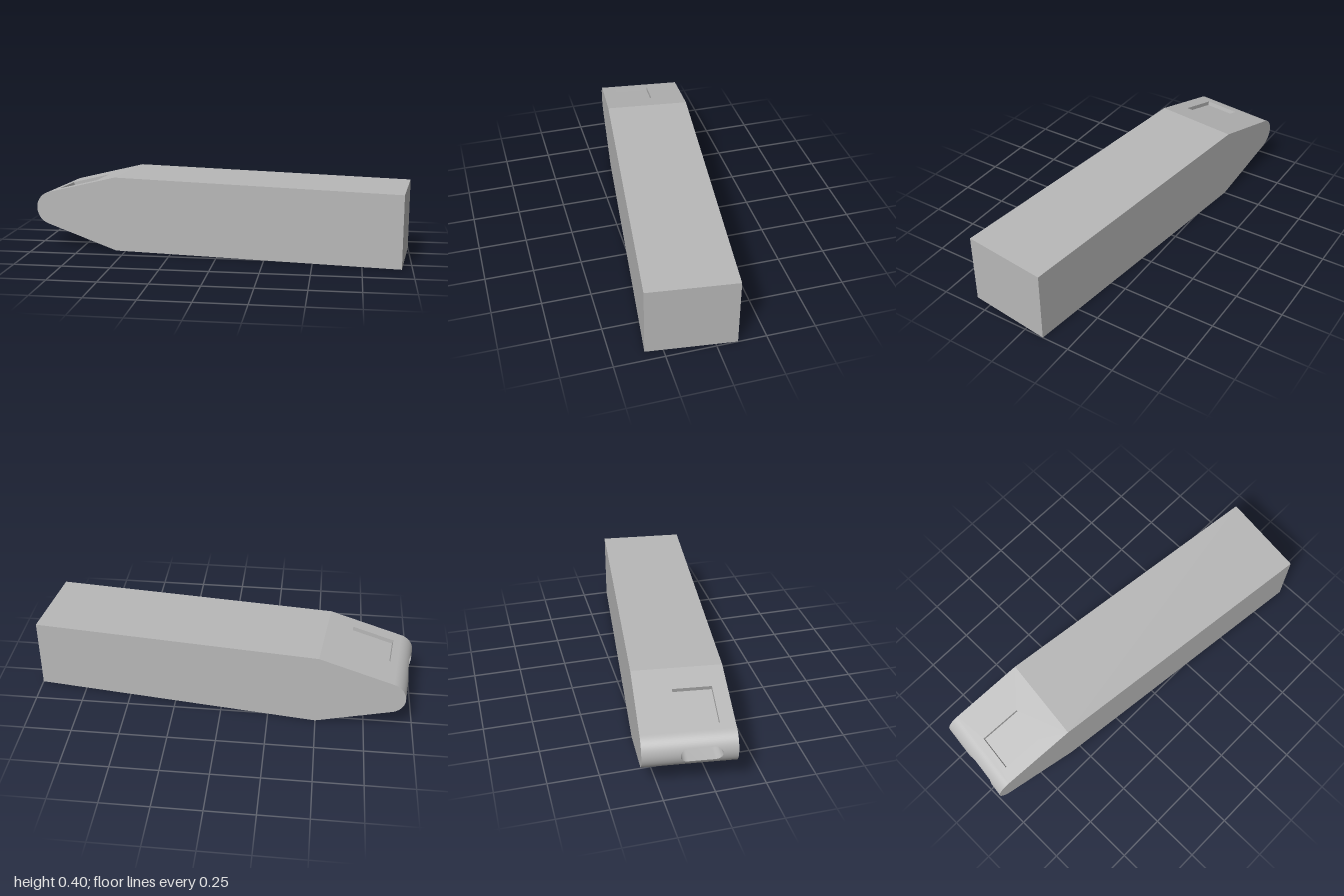
import * as THREE from 'three';
import { toCreasedNormals } from 'three/addons/utils/BufferGeometryUtils.js';

// Local frame: x runs from nose (0) to tail, y up, z across the width.
const LENGTH = 1.96, HALF = 0.224, BREAK = 0.45, TOP = 0.397, TAIL_TOP = 0.377;
const NOSE = { x: 0.09, y: 0.213, r: 0.09 };
const SLOT = { z0: -0.045, z1: 0.152, h: 0.036, floor: 0.1 };
const RECESS = 0.022;

const nosePoint = (a) => new THREE.Vector2(NOSE.x - NOSE.r * Math.cos(a), NOSE.y + NOSE.r * Math.sin(a));

export function createModel() {
  const grey = new THREE.MeshStandardMaterial({ color: 0xb8b8b8, side: THREE.DoubleSide });
  grey.name = 'grey';
  const body = new THREE.Group();
  body.name = 'body';

  const add = (name, geometry, parent = body) => {
    const mesh = new THREE.Mesh(geometry, grey);
    mesh.name = name;
    parent.add(mesh);
    return mesh;
  };

  // Quads given as four corners, counter-clockwise from outside
  const fromQuads = (quads) => {
    const g = new THREE.BufferGeometry();
    const pos = quads.flatMap(([a, b, c, d]) => [a, b, c, a, c, d].flat());
    g.setAttribute('position', new THREE.Float32BufferAttribute(pos, 3));
    g.computeVertexNormals();
    return g;
  };

  const topAngle = THREE.MathUtils.degToRad(75.5);
  const lowAngle = THREE.MathUtils.degToRad(-71.1);
  const slotAngle = Math.asin(SLOT.h / NOSE.r);

  // Flat side faces
  const outline = [];
  for (let i = 0; i <= 32; i++) outline.push(nosePoint(THREE.MathUtils.lerp(topAngle, lowAngle, i / 32)));
  outline.push(new THREE.Vector2(BREAK, 0), new THREE.Vector2(LENGTH, 0),
    new THREE.Vector2(LENGTH, TAIL_TOP), new THREE.Vector2(BREAK, TOP));
  for (const side of [1, -1]) {
    const face = add(side > 0 ? 'frontSide' : 'backSide', new THREE.ShapeGeometry(new THREE.Shape(outline)));
    if (side < 0) {
      face.geometry.index.array.reverse();
      face.geometry.attributes.normal.array.fill(-1);
      const n = face.geometry.attributes.normal;
      for (let i = 0; i < n.count; i++) n.setXYZ(i, 0, 0, -1);
    }
    face.position.z = side * HALF;
  }

  // Long top, bottom and tail faces
  const strip = (x0, y0, x1, y1) => [[x0, y0, HALF], [x1, y1, HALF], [x1, y1, -HALF], [x0, y0, -HALF]];
  add('topFace', fromQuads([strip(BREAK, TOP, LENGTH, TAIL_TOP)]));
  add('bottomFace', fromQuads([strip(LENGTH, 0, BREAK, 0)]));
  add('tailFace', fromQuads([strip(LENGTH, TAIL_TOP, LENGTH, 0)]));

  // Sloping plates with a rectangular recess
  const slope = (name, start, end, dir, x0, x1, z0, z1) => {
    const along = end.clone().sub(start);
    const len = along.length(), k = len / along.x;
    const t = new THREE.Vector3(along.x, along.y, 0).normalize();
    const across = new THREE.Vector3(0, 0, -dir);
    const normal = t.clone().cross(across);
    const rect = (P, a, b, c, d) => new P([[a, c], [b, c], [b, d], [a, d]].map((p) => new THREE.Vector2(...p)));
    const [s0, s1] = [(x0 - start.x) * k, (x1 - start.x) * k];
    const [w0, w1] = [z0 * -dir, z1 * -dir].sort((a, b) => a - b);
    const plate = rect(THREE.Shape, 0, len, -HALF, HALF);
    plate.holes.push(rect(THREE.Path, s0, s1, w0, w1));
    const group = new THREE.Group();
    group.name = name;
    group.applyMatrix4(new THREE.Matrix4().makeBasis(t, across, normal).setPosition(start.x, start.y, 0));
    body.add(group);
    const g = new THREE.ExtrudeGeometry(plate, { depth: RECESS, bevelEnabled: false });
    add(name + 'Plate', g.translate(0, 0, -RECESS), group);
    const floor = new THREE.ShapeGeometry(rect(THREE.Shape, s0, s1, w0, w1));
    add(name + 'RecessFloor', floor.translate(0, 0, -RECESS), group);
  };
  slope('topSlope', nosePoint(topAngle), new THREE.Vector2(BREAK, TOP), 1, 0.104, 0.32, -0.041, 0.151);
  slope('bottomSlope', nosePoint(lowAngle), new THREE.Vector2(BREAK, 0), -1, 0.102, 0.265, -0.03, 0.155);

  // Rounded nose, made of rows that leave a slot with rounded ends
  const rows = [];
  for (let i = 0; i <= 10; i++) rows.push({ a: THREE.MathUtils.lerp(topAngle, slotAngle, i / 10) });
  const slotRows = [];
  for (let i = 0; i <= 16; i++) {
    const s = Math.PI * (0.5 - i / 16);
    const inset = SLOT.h * (1 - Math.cos(s));
    slotRows.push({ a: Math.asin(SLOT.h * Math.sin(s) / NOSE.r), l: SLOT.z0 + inset, r: SLOT.z1 - inset });
  }
  const lower = [];
  for (let i = 0; i <= 10; i++) lower.push({ a: THREE.MathUtils.lerp(-slotAngle, lowAngle, i / 10) });

  const at = (a, z) => { const p = nosePoint(a); return [p.x, p.y, z]; };
  const quads = [];
  const band = (list, left, right) => {
    for (let i = 0; i + 1 < list.length; i++) {
      const p = list[i], q = list[i + 1];
      quads.push([at(p.a, left(p)), at(q.a, left(q)), at(q.a, right(q)), at(p.a, right(p))]);
    }
  };
  band(rows, () => -HALF, () => HALF);
  band(slotRows, () => -HALF, (p) => p.l);
  band(slotRows, (p) => p.r, () => HALF);
  band(lower, () => -HALF, () => HALF);
  const nose = fromQuads(quads);
  const P = nose.attributes.position, N = nose.attributes.normal;
  for (let i = 0; i < P.count; i++) {
    N.setXYZ(i, (P.getX(i) - NOSE.x) / NOSE.r, (P.getY(i) - NOSE.y) / NOSE.r, 0);
  }
  add('roundedNose', nose);

  // Slot walls and floor
  const loop = [...slotRows.map((p) => at(p.a, p.r)), ...slotRows.map((p) => at(p.a, p.l)).reverse()];
  const inner = loop.map(([, y, z]) => [SLOT.floor, y, z]);
  const walls = loop.map((p, i) => {
    const j = (i + 1) % loop.length;
    return [p, loop[j], inner[j], inner[i]];
  });
  add('slotWalls', toCreasedNormals(fromQuads(walls), 0.6));
  const floor = new THREE.ShapeGeometry(new THREE.Shape(inner.map(([, y, z]) => new THREE.Vector2(z, y))));
  add('slotFloor', floor.rotateY(-Math.PI / 2)).position.x = SLOT.floor;

  // Centre the body and turn it slightly about the vertical
  body.position.x = -LENGTH / 2;
  const model = new THREE.Group();
  model.name = 'model';
  model.add(body);
  model.rotation.y = -0.119;
  return model;
}
